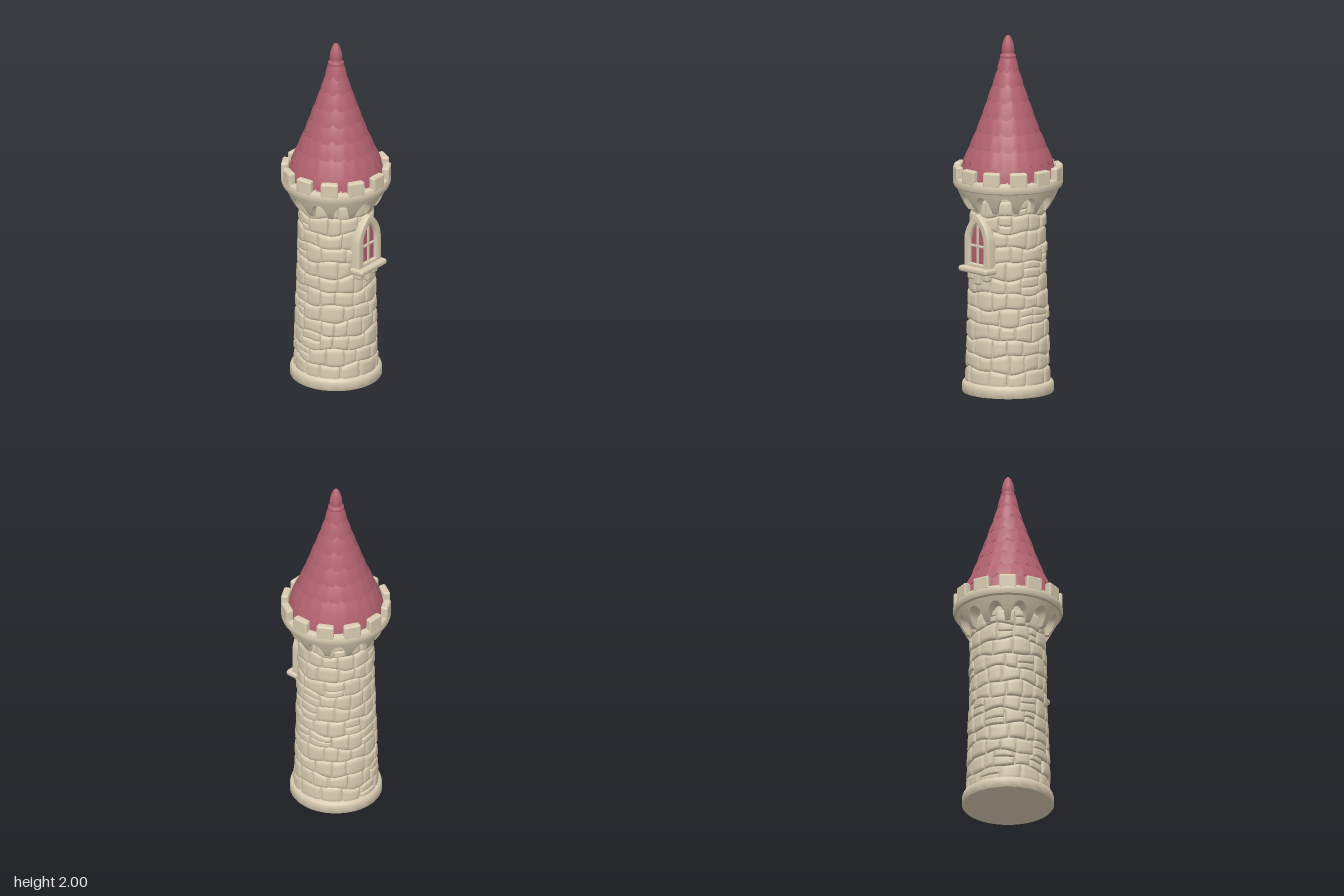
import * as THREE from 'three';
import { mergeGeometries, toCreasedNormals } from 'three/addons/utils/BufferGeometryUtils.js';
import { RoundedBoxGeometry } from 'three/addons/geometries/RoundedBoxGeometry.js';

const stone = new THREE.MeshStandardMaterial({ color: 0xd8cbb1 });
stone.name = 'cream stone';
const rose = new THREE.MeshStandardMaterial({ color: 0xb2626f });
rose.name = 'rose tile';

// Small seeded generator for irregular masonry
let seed = 7;
const rnd = () => (seed = (seed * 16807) % 2147483647) / 2147483647;
const jitter = (a) => (rnd() - 0.5) * 2 * a;

function add(parent, name, geometry, material) {
  const mesh = new THREE.Mesh(geometry, material);
  mesh.name = name;
  parent.add(mesh);
  return mesh;
}

// Grid surface around the axis; fn(i, j) returns [angle, radius, y]
function sheet(nu, nv, fn, wrap = false) {
  const pos = [], index = [], cols = wrap ? nu : nu + 1;
  for (let j = 0; j <= nv; j++) {
    for (let i = 0; i < cols; i++) {
      const [t, r, y] = fn(i, j);
      pos.push(r * Math.sin(t), y, r * Math.cos(t));
    }
  }
  for (let j = 0; j < nv; j++) {
    for (let i = 0; i < nu; i++) {
      const k = (i + 1) % cols;
      const a = j * cols + i, b = j * cols + k, c = b + cols, d = a + cols;
      index.push(a, b, c, a, c, d);
    }
  }
  const g = new THREE.BufferGeometry();
  g.setAttribute('position', new THREE.Float32BufferAttribute(pos, 3));
  g.setIndex(index);
  g.computeVertexNormals();
  return g;
}

const lathe = (points) => toCreasedNormals(
  new THREE.LatheGeometry(points.map(([r, y]) => new THREE.Vector2(r, y)), 72), 0.7);

// Wall outline, slightly flared toward the ground
const wallRadius = (y) => 0.208 + 0.029 * Math.pow(Math.max(0, 1 - y / 1.1), 1.4);

const ROWS = 12, WALL_BOTTOM = 0.055, WALL_TOP = 1.1;
function courseY(k, t) {
  const y = WALL_BOTTOM + (WALL_TOP - WALL_BOTTOM) * k / ROWS;
  if (k === 0 || k === ROWS) return y;
  return y + 0.009 * Math.sin(3 * t + k * 2.1) + 0.006 * Math.sin(7 * t + k * 4.3);
}

// One pillowed block following the wall curve
const US = [0, 0.025, 0.08, 0.2, 0.5, 0.8, 0.92, 0.975, 1];
const VS = [0, 0.04, 0.13, 0.3, 0.7, 0.87, 0.96, 1];
const round = (s) => Math.sqrt(1 - Math.pow(1 - Math.min(1, Math.min(s, 1 - s) / 0.2), 2));
function block(row, t0, t1, v0, v1) {
  const jut = 0.002 + jitter(0.004), lean0 = jitter(0.025), lean1 = jitter(0.025);
  return sheet(US.length - 1, VS.length - 1, (i, j) => {
    const u = US[i], v = v0 + (v1 - v0) * VS[j];
    const t = t0 + (t1 - t0) * u + (v - 0.5) * (lean0 * (1 - u) + lean1 * u);
    const y = THREE.MathUtils.lerp(courseY(row, t), courseY(row + 1, t), v);
    const f = round(u) * round(VS[j]);
    return [t, wallRadius(y) + jut - 0.018 * (1 - f), y];
  });
}

function buildWall(group) {
  const core = [];
  for (let i = 0; i <= 10; i++) {
    const y = 0.02 + i * 0.114;
    core.push([wallRadius(y) - 0.011, y]);
  }
  add(group, 'wallCore', lathe(core), stone);
  const blocks = [];
  for (let row = 0; row < ROWS; row++) {
    const n = 12 + Math.floor(rnd() * 4), start = rnd() * 6;
    const joints = [];
    for (let i = 0; i < n; i++) joints.push(start + (i + jitter(0.25)) * Math.PI * 2 / n);
    joints.push(joints[0] + Math.PI * 2);
    for (let i = 0; i < n; i++) {
      if (rnd() < 0.12) {
        const s = 0.5 + jitter(0.1);
        blocks.push(block(row, joints[i], joints[i + 1], 0, s), block(row, joints[i], joints[i + 1], s, 1));
      } else blocks.push(block(row, joints[i], joints[i + 1], 0, 1));
    }
  }
  add(group, 'wallBlocks', mergeGeometries(blocks), stone);
  add(group, 'plinth', lathe([[0, 0], [0.25, 0], [0.255, 0.008], [0.254, 0.045], [0.249, 0.06],
    [0.238, 0.067], [0.2, 0.07]]), stone);
}

// Arcaded brackets, parapet ring and battlements
function buildParapet(group) {
  const BAYS = 12, PER = 24, STEPS = 6;
  const flare = (y) => 0.222 + 0.066 * Math.pow((y - 1.03) / 0.13, 0.75);
  const arcade = sheet(BAYS * PER, STEPS + 1, (i, j) => {
    const a = Math.abs(((i / PER) % 1) * 2 - 1);
    const low = 1.032 + 0.095 * Math.sqrt(1 - Math.pow(Math.min(1, a / 0.74), 2));
    const t = i / PER * Math.PI * 2 / BAYS;
    if (j === 0) return [t, 0.19, low];
    const y = low + (1.16 - low) * (j - 1) / STEPS;
    return [t, flare(y), y];
  }, true);
  add(group, 'arcadeBrackets', toCreasedNormals(arcade, 0.8), stone);
  add(group, 'parapetRing', lathe([[0.2, 1.152], [0.285, 1.152], [0.298, 1.158], [0.303, 1.172],
    [0.303, 1.195], [0.298, 1.207], [0.288, 1.211], [0.2, 1.211]]), stone);
  for (let k = 0; k < BAYS; k++) {
    const g = new RoundedBoxGeometry(0.096, 0.085, 0.042, 4, 0.012);
    const p = g.attributes.position;
    // Bend the merlon to the ring
    for (let i = 0; i < p.count; i++) {
      const t = p.getX(i) / 0.285, r = 0.283 + p.getZ(i);
      p.setXYZ(i, r * Math.sin(t), p.getY(i) + 1.232, r * Math.cos(t));
    }
    g.computeVertexNormals();
    add(group, 'merlon', g, stone).rotation.y = k * Math.PI * 2 / BAYS;
  }
}

// Overlapping scalloped tile courses and the finial
function buildRoof(group) {
  const courses = [[1.2, 0.268], [1.285, 0.251], [1.372, 0.213], [1.46, 0.177], [1.547, 0.146],
    [1.633, 0.116], [1.718, 0.087], [1.8, 0.062], [1.885, 0.044]];
  for (let k = 0; k < courses.length - 1; k++) {
    const [y0, r0] = courses[k], [y1, r1] = courses[k + 1];
    const n = Math.max(8, Math.round(r0 * 84)), PER = 10;
    const g = sheet(n * PER, 5, (i, j) => {
      const c = Math.abs(((i / PER) % 1) * 2 - 1);
      const t = (i / PER + (k % 2) * 0.5) * Math.PI * 2 / n;
      const edge = y0 - 0.004 + 0.024 * c * c;
      if (j === 0) return [t, r0 - 0.03, edge + 0.004];
      const s = (j - 1) / 4;
      const r = THREE.MathUtils.lerp(r0, r1 - 0.013, s) - 0.006 * c * c * c * (1 - s)
        + 0.004 * Math.sin(Math.PI * s);
      return [t, r, THREE.MathUtils.lerp(edge, y1 + 0.022, s)];
    }, true);
    add(group, 'tileCourse', toCreasedNormals(g, 0.7), rose);
  }
  add(group, 'finial', lathe([[0.03, 1.855], [0.04, 1.866], [0.045, 1.876], [0.043, 1.887], [0.032, 1.895],
    [0.035, 1.912], [0.034, 1.935], [0.027, 1.962], [0.017, 1.986], [0.008, 1.997], [0, 2]]), rose);
}

function archPath(Type, w, y0, spring, peak) {
  const p = new Type();
  p.moveTo(-w, y0);
  p.lineTo(w, y0);
  p.lineTo(w, spring);
  p.quadraticCurveTo(w * 0.88, spring + (peak - spring) * 0.62, 0, peak);
  p.quadraticCurveTo(-w * 0.88, spring + (peak - spring) * 0.62, -w, spring);
  p.closePath();
  return p;
}

function buildWindow(group) {
  const win = new THREE.Group();
  win.name = 'window';
  group.add(win);
  const shape = archPath(THREE.Shape, 0.094, 0.705, 0.875, 1.012);
  shape.holes.push(archPath(THREE.Path, 0.064, 0.735, 0.87, 0.978));
  const frame = new THREE.ExtrudeGeometry(shape, { depth: 0.06, bevelEnabled: true, bevelSize: 0.008,
    bevelThickness: 0.01, bevelSegments: 3, curveSegments: 14 });
  add(win, 'windowFrame', toCreasedNormals(frame, 0.8), stone).position.z = 0.167;
  const pane = new THREE.ShapeGeometry(archPath(THREE.Shape, 0.068, 0.73, 0.87, 0.982), 14);
  add(win, 'windowPane', pane, rose).position.z = 0.219;
  const box = (name, w, h, d, x, y, z, r) =>
    add(win, name, new RoundedBoxGeometry(w, h, d, 3, r), stone).position.set(x, y, z);
  box('uprightBar', 0.013, 0.25, 0.016, 0, 0.855, 0.221, 0.004);
  box('crossBar', 0.125, 0.013, 0.016, 0, 0.84, 0.221, 0.004);
  // Sill and its stepped bracket
  box('windowSill', 0.232, 0.034, 0.09, 0, 0.708, 0.224, 0.014);
  for (const x of [-0.06, 0, 0.06]) {
    box('sillBracket', 0.05, x ? 0.05 : 0.07, 0.06, x, x ? 0.672 : 0.66, x ? 0.2 : 0.21, 0.014);
  }
}

export function createModel() {
  const tower = new THREE.Group();
  tower.name = 'tower';
  for (const [name, build] of [['wall', buildWall], ['parapet', buildParapet],
    ['roof', buildRoof], ['windowBay', buildWindow]]) {
    const part = new THREE.Group();
    part.name = name;
    build(part);
    tower.add(part);
  }
  return tower;
}
